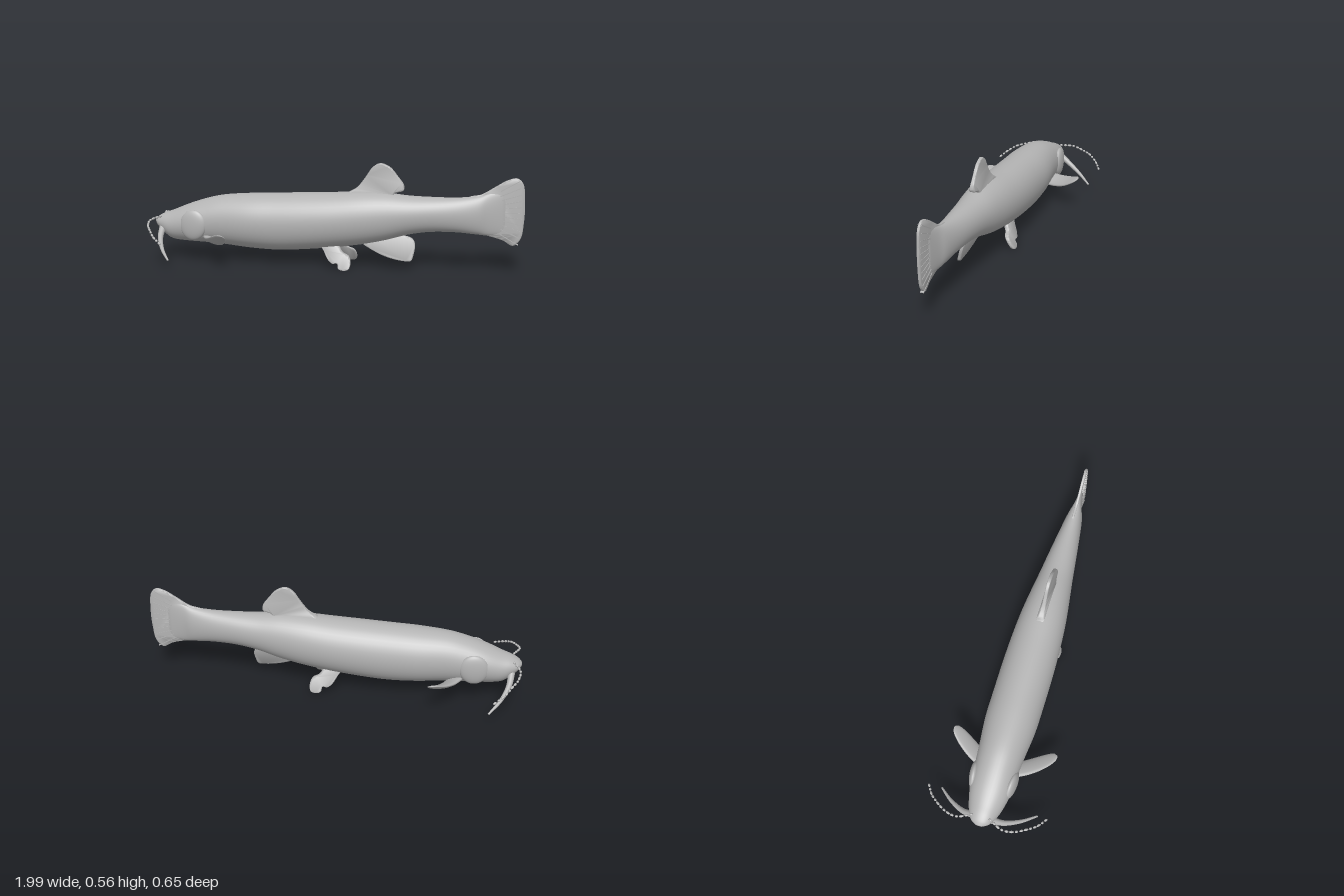
import * as THREE from 'three';
import { toCreasedNormals } from 'three/addons/utils/BufferGeometryUtils.js';

const V = (x, y, z) => new THREE.Vector3(x, y, z);

// Skin a list of closed rings (arrays of Vector3), closing both ends
function loft(rings) {
  const n = rings[0].length, pos = [], idx = [];
  rings.forEach(r => r.forEach(p => pos.push(p.x, p.y, p.z)));
  for (let i = 0; i < rings.length - 1; i++) {
    for (let j = 0; j < n; j++) {
      const a = i * n + j, b = i * n + (j + 1) % n;
      idx.push(a, b, a + n, b, b + n, a + n);
    }
  }
  [0, rings.length - 1].forEach(i => {
    const c = rings[i].reduce((s, p) => s.add(p), V(0, 0, 0)).divideScalar(n);
    const k = pos.length / 3;
    pos.push(c.x, c.y, c.z);
    for (let j = 0; j < n; j++) {
      const a = i * n + j, b = i * n + (j + 1) % n;
      if (i) idx.push(a, b, k); else idx.push(b, a, k);
    }
  });
  const g = new THREE.BufferGeometry();
  g.setAttribute('position', new THREE.Float32BufferAttribute(pos, 3));
  g.setIndex(idx);
  g.computeVertexNormals();
  return g;
}

// Flattened limb along a path: width runs along 'across', thickness is square to it
function limb(points, across, width, thick, steps = 24) {
  const curve = new THREE.CatmullRomCurve3(points), rings = [];
  for (let i = 0; i <= steps; i++) {
    const t = i / steps, c = curve.getPoint(t), axis = curve.getTangent(t);
    const u = across.clone().addScaledVector(axis, -across.dot(axis)).normalize();
    const v = axis.clone().cross(u), ring = [];
    for (let j = 0; j < 16; j++) {
      const a = j / 16 * Math.PI * 2;
      ring.push(c.clone().addScaledVector(u, Math.cos(a) * width(t)).addScaledVector(v, Math.sin(a) * thick(t)));
    }
    rings.push(ring);
  }
  return loft(rings);
}

// Thin fin with a smooth outline; half(y) is its half thickness, offset(y) its sideways lean
function fin(outline, half, offset = () => 0) {
  const curve = new THREE.CatmullRomCurve3(outline.map(p => V(p[0], p[1], 0)), true, 'centripetal');
  const shape = new THREE.Shape(curve.getPoints(72).slice(0, -1).map(p => new THREE.Vector2(p.x, p.y)));
  const g = new THREE.ExtrudeGeometry(shape, {
    depth: 1, steps: 1, bevelEnabled: true, bevelThickness: 0.5, bevelSize: 0.007, bevelOffset: -0.007, bevelSegments: 3
  });
  const p = g.attributes.position;
  for (let i = 0; i < p.count; i++) {
    const y = p.getY(i);
    p.setZ(i, (p.getZ(i) - 0.5) * half(y) + offset(y));
  }
  return toCreasedNormals(g, 1.1);
}

export function createModel() {
  const group = new THREE.Group();
  const skin = new THREE.MeshStandardMaterial({ color: 0xb4b4b4 });
  skin.name = 'grey skin';
  const add = (name, geometry) => {
    const mesh = new THREE.Mesh(geometry, skin);
    mesh.name = name;
    group.add(mesh);
    return mesh;
  };

  // Body stations: x, top, bottom, half width
  const stations = [
    [-0.995, 0.215, 0.195, 0.018], [-0.975, 0.232, 0.172, 0.048], [-0.94, 0.25, 0.14, 0.069],
    [-0.89, 0.268, 0.108, 0.088], [-0.8, 0.305, 0.1, 0.108], [-0.7, 0.338, 0.096, 0.114],
    [-0.6, 0.36, 0.091, 0.122], [-0.45, 0.373, 0.078, 0.137], [-0.3, 0.38, 0.073, 0.139],
    [-0.15, 0.387, 0.083, 0.139], [0, 0.394, 0.1, 0.135], [0.15, 0.403, 0.122, 0.125],
    [0.28, 0.402, 0.15, 0.109], [0.4, 0.391, 0.185, 0.092], [0.52, 0.388, 0.205, 0.077],
    [0.65, 0.39, 0.208, 0.06], [0.76, 0.402, 0.2, 0.043], [0.82, 0.42, 0.196, 0.024], [0.9, 0.43, 0.205, 0.008]
  ];
  const heights = new THREE.CatmullRomCurve3(stations.map(s => V(s[0], s[1], s[2])), false, 'catmullrom');
  const widths = new THREE.CatmullRomCurve3(stations.map(s => V(s[0], s[3], 0)), false, 'catmullrom');
  const rings = [];
  for (let i = 0; i <= 90; i++) {
    const h = heights.getPoint(i / 90), w = widths.getPoint(i / 90).y;
    const mid = (h.y + h.z) / 2, half = (h.y - h.z) / 2, ring = [];
    for (let j = 0; j < 40; j++) {
      const a = j / 40 * Math.PI * 2, c = Math.cos(a), s = Math.sin(a);
      // fuller, flatter belly than back
      const full = c < 0 ? 0.8 : 0.96;
      ring.push(V(h.x, mid + half * c, w * Math.sign(s) * Math.pow(Math.abs(s), full)));
    }
    rings.push(ring);
  }
  add('body', loft(rings));

  // Tail fin with raised rays
  add('tailFin', fin([
    [0.7, 0.385], [0.78, 0.412], [0.85, 0.455], [0.91, 0.49], [0.955, 0.5], [0.985, 0.475], [0.998, 0.38],
    [0.996, 0.27], [0.982, 0.185], [0.945, 0.148], [0.89, 0.175], [0.8, 0.198], [0.7, 0.215]
  ], () => 0.007));
  for (let i = 0; i < 11; i++) {
    const a = (i - 5) * 0.105;
    const ray = add('tailRay', new THREE.BoxGeometry(0.11, 0.004, 0.018));
    ray.position.set(0.93 - Math.abs(a) * 0.015, 0.32 + Math.tan(a) * 0.24, 0);
    ray.rotation.z = a;
  }

  // Back and rear belly fins
  add('dorsalFin', fin([
    [0.07, 0.385], [0.13, 0.428], [0.175, 0.485], [0.21, 0.535], [0.25, 0.557], [0.3, 0.54],
    [0.345, 0.49], [0.376, 0.445], [0.375, 0.418], [0.33, 0.402], [0.3, 0.37], [0.15, 0.36]
  ], y => 0.009 + 0.016 * THREE.MathUtils.clamp((0.48 - y) / 0.09, 0, 1) ** 2));
  add('analFin', fin([
    [0.16, 0.14], [0.22, 0.1], [0.3, 0.068], [0.38, 0.053], [0.425, 0.055], [0.437, 0.085],
    [0.442, 0.14], [0.425, 0.168], [0.36, 0.185], [0.3, 0.2], [0.22, 0.18]
  ], () => 0.009, y => 0.02 + (0.17 - y) * 0.3));

  // Paired parts
  for (const s of [1, -1]) {
    const side = s > 0 ? 'left' : 'right';

    add(side + 'PelvicFin', fin([
      [-0.05, 0.115], [-0.035, 0.088], [-0.01, 0.05], [0.015, 0.032], [0.042, 0.032], [0.05, 0.008], [0.08, 0.001],
      [0.105, 0.008], [0.112, 0.04], [0.1, 0.07], [0.065, 0.088], [0.04, 0.12], [0, 0.135]
    ], y => 0.009 + y * 0.04, y => s * (0.058 + (0.11 - y) * 0.58)));

    add(side + 'PectoralFin', limb(
      [V(-0.655, 0.125, s * 0.08), V(-0.625, 0.132, s * 0.14), V(-0.585, 0.152, s * 0.205), V(-0.535, 0.193, s * 0.28)],
      V(0.039, -0.022, -s * 0.023),
      t => 0.006 + 0.043 * Math.sqrt(Math.max(0, 1 - Math.pow(t, 4))),
      t => 0.003 + 0.014 * (1 - t * 0.6) * Math.sqrt(Math.max(0, 1 - t ** 6))
    ));

    // Gill cover
    const gill = add(side + 'GillCover', new THREE.SphereGeometry(1, 32, 20));
    gill.scale.set(0.075, 0.083, 0.026);
    gill.position.set(-0.75, 0.205, s * 0.1);
    gill.rotation.set(0, -s * 0.1, -0.2);

    // Long tapering whisker
    const taper = t => 0.019 - 0.014 * t;
    add(side + 'LongBarbel', limb(
      [V(-0.945, 0.175, s * 0.045), V(-0.935, 0.13, s * 0.11), V(-0.895, 0.085, s * 0.19), V(-0.838, 0.046, s * 0.263)],
      V(1, 0, 0), taper, taper));

    // Short whisker broken into small beads
    const strand = new THREE.CatmullRomCurve3([
      V(-0.955, 0.235, s * 0.05), V(-0.985, 0.227, s * 0.12), V(-0.975, 0.212, s * 0.18),
      V(-0.945, 0.2, s * 0.235), V(-0.905, 0.172, s * 0.285), V(-0.862, 0.148, s * 0.315)
    ]);
    for (let i = 0; i < 14; i++) {
      const t = i / 13, bead = add(side + 'BarbelBead', new THREE.SphereGeometry(0.0065, 10, 8));
      bead.position.copy(strand.getPointAt(t));
      bead.scale.z = 1.3 + 0.4 * (i % 3);
      bead.lookAt(bead.position.clone().add(strand.getTangentAt(t)));
    }
  }
  return group;
}
